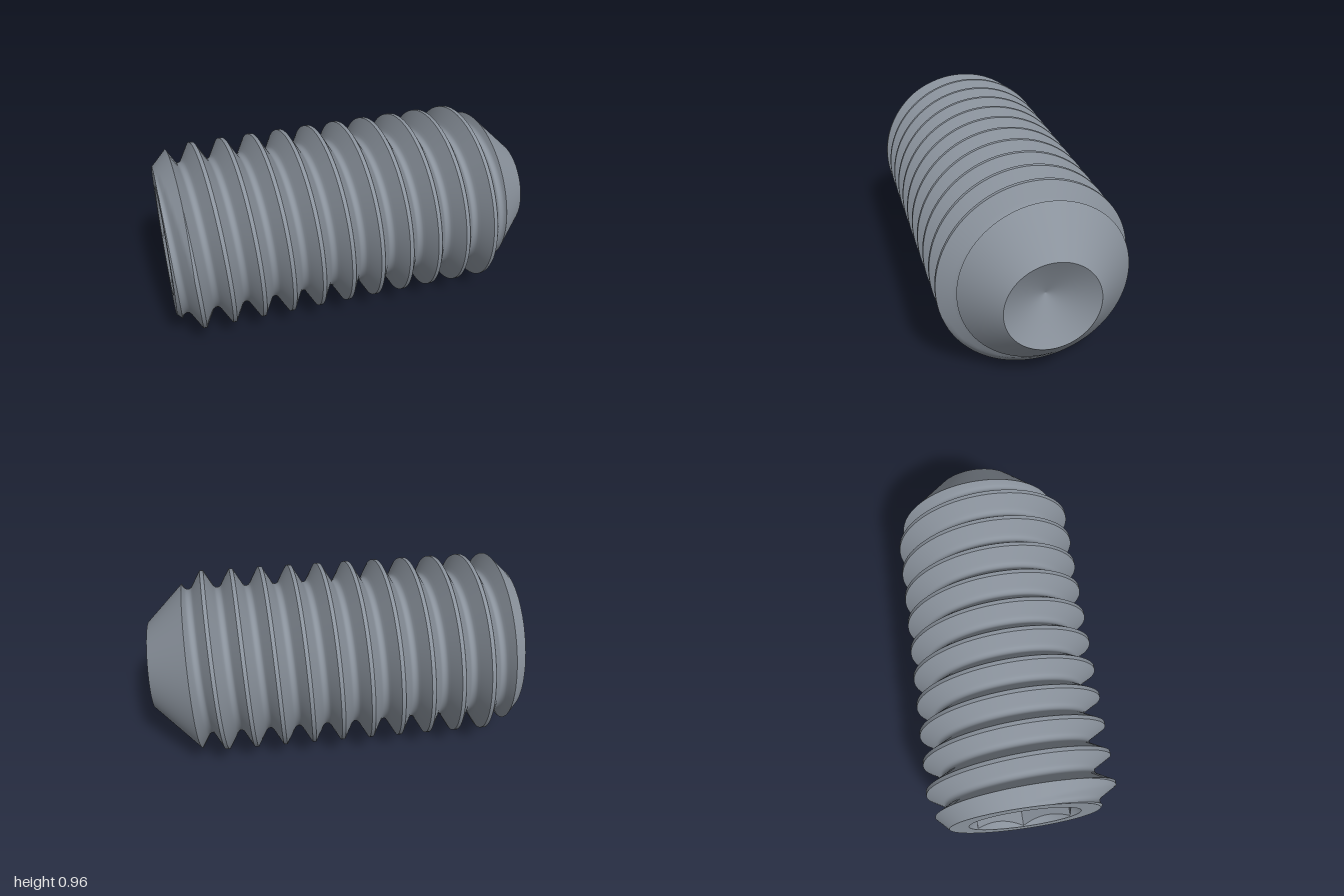
import * as THREE from 'three';
import { toCreasedNormals } from 'three/addons/utils/BufferGeometryUtils.js';

const HALF = 0.955, MAJOR = 0.48, PITCH = 0.1533, CREST_AT = 0.649;
const TIP_R = 0.23, BACK_R = 0.384, SOCKET_R = 0.285, APOTHEM = 0.242;
const ROOT = 0.022, FLAT = PITCH / 16, TAN60 = Math.sqrt(3);
const SEGMENTS = 120;
const V_BOTTOM = MAJOR - TAN60 * (PITCH / 2 - FLAT);

// Radius of a 60 degree thread with flat crest and rounded root, u from crest
function threadRadius(u) {
  const d = Math.abs(u - PITCH * Math.round(u / PITCH));
  if (d <= FLAT) return MAJOR;
  const fromRoot = PITCH / 2 - d;
  if (fromRoot < ROOT * TAN60 / 2) return V_BOTTOM + 2 * ROOT - Math.sqrt(ROOT * ROOT - fromRoot * fromRoot);
  return MAJOR - TAN60 * (d - FLAT);
}

// Radius of the chamfers at both ends
const chamferRadius = (s) => Math.min(BACK_R + s + HALF, TIP_R + HALF - s);

// Positions along one pitch where the thread profile is sampled
function pitchKnots() {
  const knots = [];
  const flankEnd = PITCH / 2 - ROOT * TAN60 / 2;
  for (let i = 0; i < 4; i++) knots.push(-FLAT + FLAT * i / 2);
  for (let i = 0; i < 6; i++) knots.push(FLAT + (flankEnd - FLAT) * i / 6);
  for (let i = 0; i < 6; i++) knots.push(PITCH / 2 + ROOT * Math.sin((-60 + 20 * i) * Math.PI / 180));
  for (let i = 0; i < 6; i++) knots.push(PITCH - flankEnd + (flankEnd - FLAT) * i / 6);
  return knots;
}

// Threaded profile at one angle, as [position along axis, radius]
function threadProfile(theta, knots) {
  const start = CREST_AT + PITCH * theta / (2 * Math.PI);
  const excess = (s) => threadRadius(s - start) - chamferRadius(s);
  const s = [];
  for (let n = -12; n <= 3; n++) {
    for (const k of knots) s.push(THREE.MathUtils.clamp(start + n * PITCH + k, -HALF, HALF));
  }
  // Snap the nearest sample onto each thread and chamfer crossing
  const snapped = s.slice();
  for (let i = 0; i < s.length - 1; i++) {
    const sign = excess(s[i]) > 0;
    if (sign === (excess(s[i + 1]) > 0)) continue;
    let a = s[i], b = s[i + 1];
    for (let n = 0; n < 20; n++) {
      const m = (a + b) / 2;
      if ((excess(m) > 0) === sign) a = m; else b = m;
    }
    snapped[a - s[i] < s[i + 1] - a ? i : i + 1] = a;
  }
  return snapped.map((v) => [v, Math.min(threadRadius(v - start), chamferRadius(v))]);
}

// Hexagonal socket with a countersunk mouth, from floor centre to outer rim
function socketProfile(theta) {
  const sector = Math.PI / 3;
  const hex = APOTHEM / Math.cos((theta % sector) - sector / 2);
  const floor = -HALF + 0.5;
  return [[floor + 0.1, 0], [floor, hex], [-HALF + (SOCKET_R - hex) * 0.8, hex], [-HALF, SOCKET_R], [-HALF, BACK_R]];
}

// Conical cup in the tip
const cupProfile = () => [[HALF, TIP_R], [HALF - 0.12, 0]];

// Sweep an angle-dependent profile around the x axis
function sweep(profileAt) {
  const positions = [];
  const columns = [];
  for (let j = 0; j <= SEGMENTS; j++) {
    const theta = 2 * Math.PI * j / SEGMENTS;
    columns.push(profileAt(theta).map(([s, r]) => new THREE.Vector3(s, r * Math.cos(theta), r * Math.sin(theta))));
  }
  const addTriangle = (a, b, c) => {
    if (new THREE.Triangle(a, b, c).getArea() < 1e-9) return;
    for (const p of [a, b, c]) positions.push(p.x, p.y, p.z);
  };
  for (let j = 0; j < SEGMENTS; j++) {
    const here = columns[j], next = columns[j + 1];
    for (let i = 0; i < here.length - 1; i++) {
      addTriangle(here[i], next[i], here[i + 1]);
      addTriangle(next[i], next[i + 1], here[i + 1]);
    }
  }
  const geometry = new THREE.BufferGeometry();
  geometry.setAttribute('position', new THREE.Float32BufferAttribute(positions, 3));
  // Enlarged while creasing so that close thread edges stay distinct
  geometry.scale(100, 100, 100);
  const creased = toCreasedNormals(geometry, THREE.MathUtils.degToRad(35));
  creased.scale(0.01, 0.01, 0.01);
  return creased;
}

export function createModel() {
  const steel = new THREE.MeshStandardMaterial({ color: 0x8a929c });
  steel.name = 'steel grey';

  const screw = new THREE.Group();
  screw.name = 'setScrew';
  const knots = pitchKnots();
  const parts = {
    threadedBody: (theta) => threadProfile(theta, knots),
    hexSocket: socketProfile,
    cupPoint: cupProfile,
  };
  for (const [name, profile] of Object.entries(parts)) {
    const mesh = new THREE.Mesh(sweep(profile), steel);
    mesh.name = name;
    screw.add(mesh);
  }
  screw.rotation.y = -0.2077;
  screw.position.set(0.002, MAJOR, 0.004);

  const model = new THREE.Group();
  model.name = 'model';
  model.add(screw);
  return model;
}
